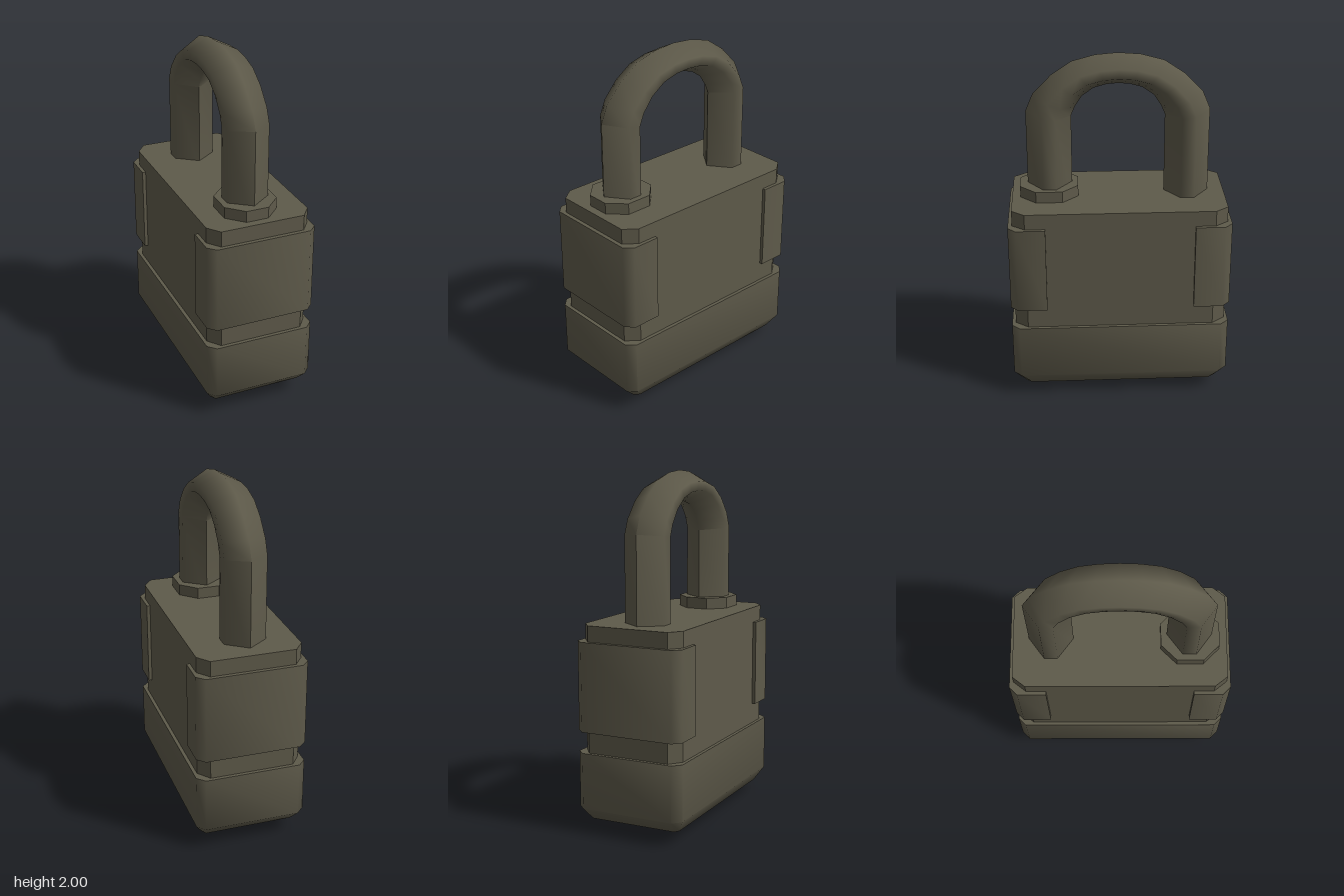
import * as THREE from 'three';
import { toCreasedNormals } from 'three/addons/utils/BufferGeometryUtils.js';

// Skin a list of equal-length rings (ordered counter-clockwise about the travel direction), with end caps
function loft(rings, crease) {
  const n = rings[0].length, last = (rings.length - 1) * n, index = [];
  for (let i = 0; i < rings.length - 1; i++) {
    for (let j = 0; j < n; j++) {
      const a = i * n + j, b = i * n + (j + 1) % n;
      index.push(a, b, a + n, b, b + n, a + n);
    }
  }
  for (let j = 1; j < n - 1; j++) {
    index.push(0, j + 1, j, last, last + j, last + j + 1);
  }
  const geometry = new THREE.BufferGeometry();
  geometry.setAttribute('position', new THREE.Float32BufferAttribute(rings.flat(2), 3));
  geometry.setIndex(index);
  return toCreasedNormals(geometry, crease);
}

// Horizontal rectangle with cut corners
function cutRect(y, hx, hz, cx, cz, x0 = 0, z0 = 0) {
  return [
    [hx - cx, hz], [hx, hz - cz], [hx, cz - hz], [hx - cx, -hz],
    [cx - hx, -hz], [-hx, cz - hz], [-hx, hz - cz], [cx - hx, hz],
  ].map(([x, z]) => [x + x0, y, z + z0]);
}

export function createModel() {
  const group = new THREE.Group();
  const metal = new THREE.MeshStandardMaterial({ color: 0x5e5a4a });
  metal.name = 'dullOliveMetal';
  const add = (name, geometry) => {
    const mesh = new THREE.Mesh(geometry, metal);
    mesh.name = name;
    group.add(mesh);
    return mesh;
  };
  const FLAT = 0.1, SOFT = 0.95, ROUND = 1.25;

  // Main block with cut corners
  add('body', loft([cutRect(0.4, 0.3, 0.607, 0.057, 0.073), cutRect(1.175, 0.3, 0.607, 0.057, 0.073)], FLAT));

  // Rounded bumper around the bottom
  add('baseBumper', loft([
    cutRect(0, 0.145, 0.305, 0.01, 0.02),
    cutRect(0.065, 0.275, 0.555, 0.02, 0.03),
    cutRect(0.14, 0.32, 0.628, 0.045, 0.045),
    cutRect(0.46, 0.32, 0.628, 0.045, 0.045),
  ], SOFT));

  // Wraparound guards on the two narrow ends
  const outline = [[-0.32, 0.42], [-0.32, 0.585], [-0.275, 0.63], [0.275, 0.63], [0.32, 0.585], [0.32, 0.42]];
  const guard = loft([0.58, 1.085].map((y) => outline.map(([x, z]) => [x, y, z])), SOFT);
  add('frontGuard', guard);
  add('backGuard', guard).rotation.y = Math.PI;

  // Octagonal collar under the front leg
  add('collar', loft([1.15, 1.24].map((y) => cutRect(y, 0.155, 0.165, 0.09, 0.09, -0.013, 0.395)), FLAT));

  // Hexagonal shackle: each station is outer z, outer y, inner z, inner y
  const half = [
    [0.517, 1.1, 0.263, 1.1],
    [0.517, 1.67, 0.263, 1.64],
    [0.475, 1.77, 0.242, 1.69],
    [0.37, 1.878, 0.2, 1.755],
    [0.255, 1.955, 0.135, 1.8],
    [0.125, 1.99, 0.065, 1.82],
  ];
  const mirrored = half.map(([oz, oy, iz, iy]) => [-oz, oy, -iz, iy]).reverse();
  const stations = [...half, [0, 2, 0, 1.825], ...mirrored];
  const section = [[0, 0], [0.121, 0.35], [0.121, 0.65], [0, 1], [-0.121, 0.65], [-0.121, 0.35]];
  add('shackle', loft(stations.map(([oz, oy, iz, iy]) =>
    section.map(([x, t]) => [x - 0.012, oy + (iy - oy) * t, oz + (iz - oz) * t])), ROUND));

  return group;
}
